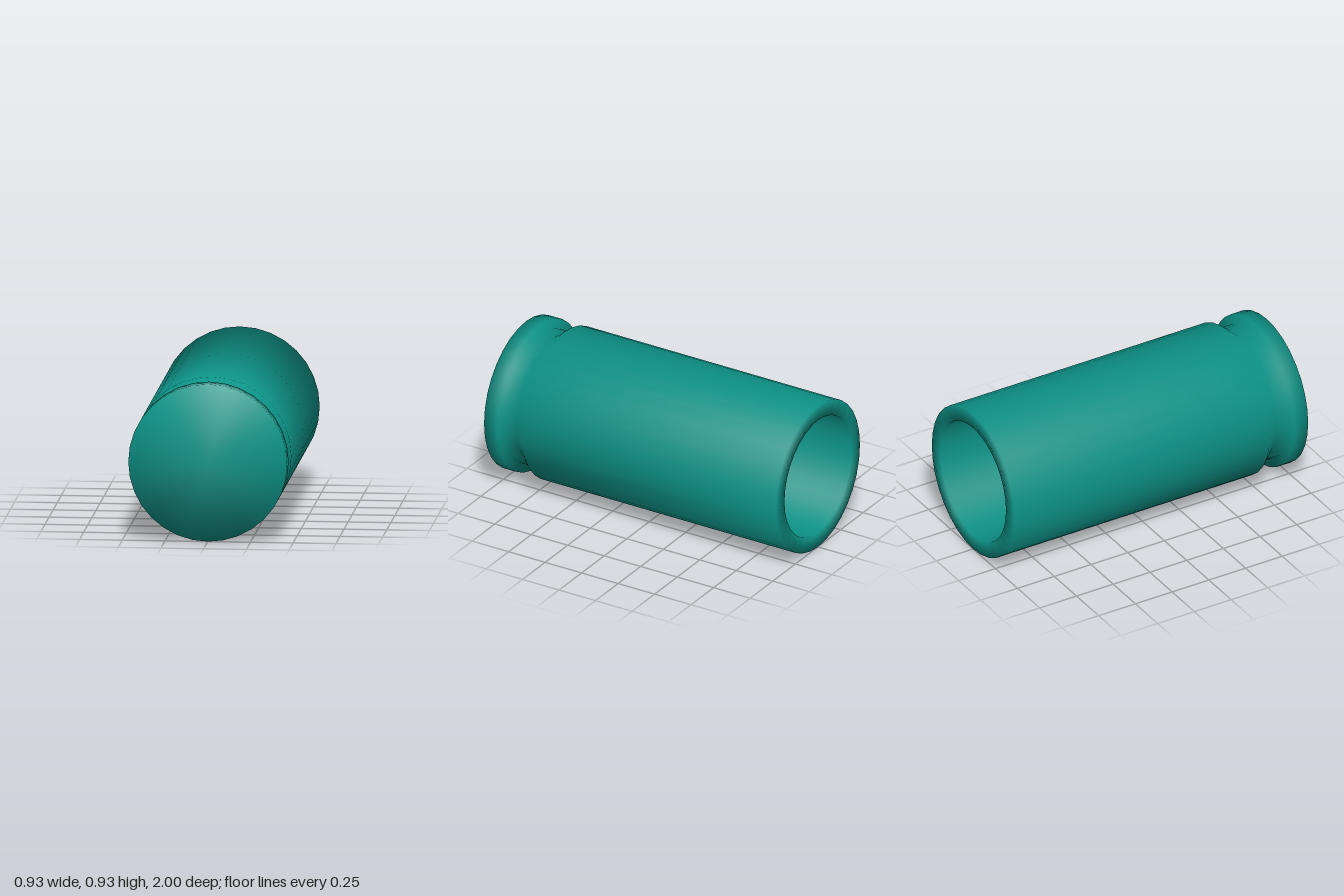
import * as THREE from 'three';

const R = 0.465;      // body radius
const INNER = 0.37;   // bore radius
const GROOVE = 0.408; // extractor groove radius
const SEGMENTS = 32;

// Lathe along +z whose normals bisect the neighbouring profile segments
function smoothLathe(profile, segments) {
  const pts = profile.map(([r, z]) => new THREE.Vector2(r, z));
  const geo = new THREE.LatheGeometry(pts, segments);
  const segNormal = (a, b) => new THREE.Vector2(b.y - a.y, a.x - b.x).normalize();
  const normals = pts.map((p, j) => {
    const n = new THREE.Vector2();
    if (j > 0) n.add(segNormal(pts[j - 1], p));
    if (j < pts.length - 1) n.add(segNormal(p, pts[j + 1]));
    return n.normalize();
  });
  const attr = geo.attributes.normal;
  for (let i = 0; i <= segments; i++) {
    const phi = (i / segments) * Math.PI * 2;
    normals.forEach((n, j) =>
      attr.setXYZ(i * pts.length + j, n.x * Math.sin(phi), n.y, n.x * Math.cos(phi)));
  }
  return geo.rotateX(Math.PI / 2);
}

export function createModel() {
  const group = new THREE.Group();
  group.name = 'casing';
  const material = new THREE.MeshStandardMaterial({ color: 0x0d9488 });

  // One closed profile: bore, mouth, wall, groove, flange and base
  const shell = new THREE.Mesh(smoothLathe([
    [0, 0.74],        // bore floor
    [INNER, 0.74],
    [INNER, -1],      // mouth
    [R, -1],
    [R, 0.74],        // outer wall
    [GROOVE, 0.81],   // taper into groove
    [GROOVE, 0.91],
    [R, 0.91],        // flange
    [R, 1],
    [0, 1],           // base
  ], SEGMENTS), material);
  shell.name = 'casingShell';
  shell.position.y = R;
  group.add(shell);
  return group;
}
